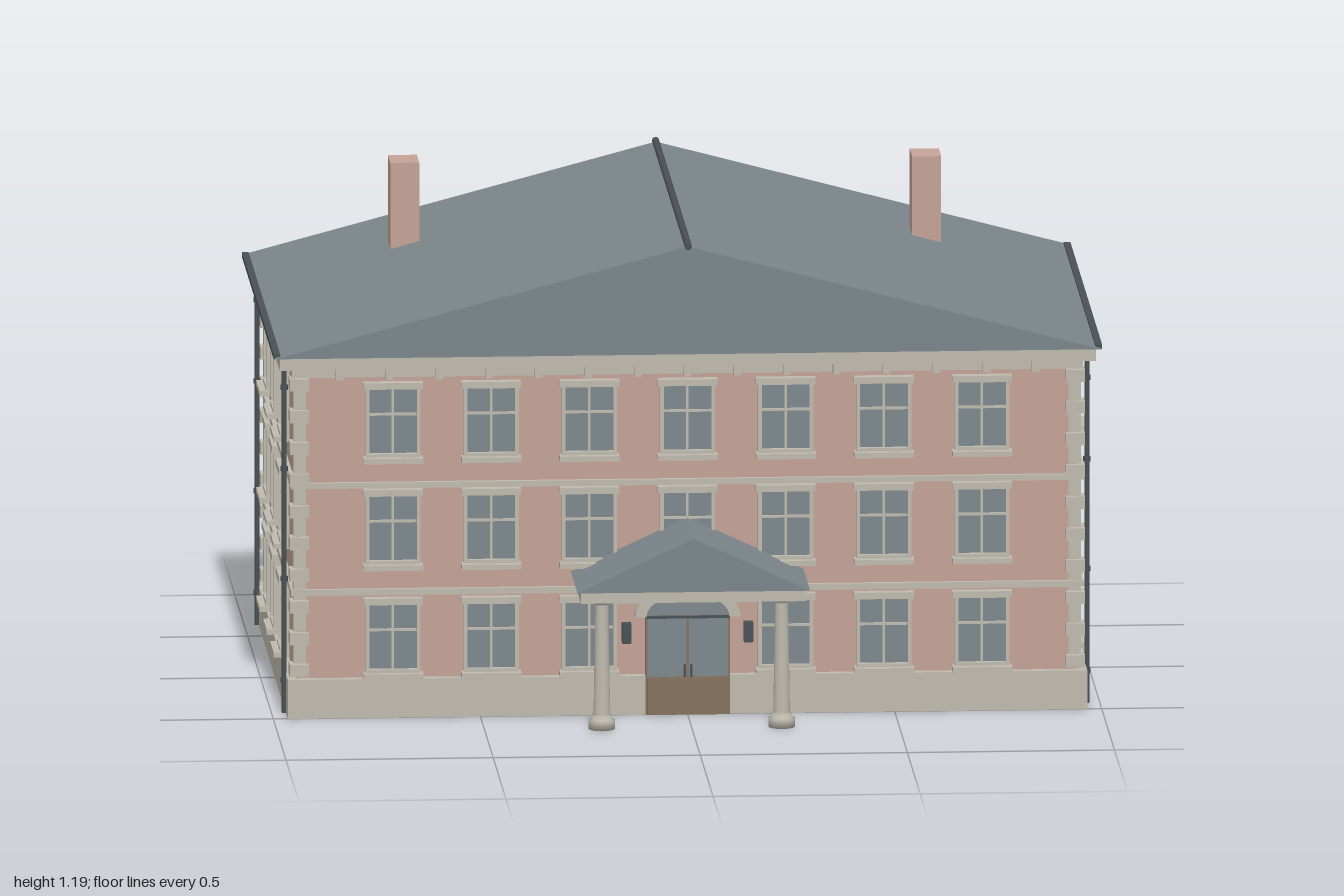
import * as THREE from 'three';

const mat = (name, color, extra = {}) => {
  const m = new THREE.MeshStandardMaterial({ color, ...extra });
  m.name = name;
  return m;
};

export function createModel() {
  const brick = mat('brick', 0xc5a396);
  const stone = mat('stone', 0xbfbaae);
  const slate = mat('slate', 0x7b868a);
  const glass = mat('glass', 0x7d888e);
  const metal = mat('dark metal', 0x4a5257);
  const wood = mat('door wood', 0x86705f);

  const model = new THREE.Group();
  model.name = 'house';
  const ZC = -0.1, HX = 0.945, HZ = 0.585;   // wall centre and half sizes
  const FRONT = ZC + HZ, BACK = ZC - HZ;

  const unit = new THREE.BoxGeometry(1, 1, 1);
  const add = (parent, name, geo, m, x = 0, y = 0, z = 0) => {
    const mesh = new THREE.Mesh(geo, m);
    mesh.name = name;
    mesh.position.set(x, y, z);
    parent.add(mesh);
    return mesh;
  };
  const box = (parent, name, m, w, h, d, x, y, z) => {
    const b = add(parent, name, unit, m, x, y, z);
    b.scale.set(w, h, d);
    return b;
  };
  const group = (name, parent = model) => {
    const g = new THREE.Group();
    g.name = name;
    parent.add(g);
    return g;
  };
  // box given by its bottom, top and half sizes, centred on the house
  const slab = (name, m, y0, y1, hx, hz) =>
    box(model, name, m, hx * 2, y1 - y0, hz * 2, 0, (y0 + y1) / 2, ZC);
  // triangular prism running along z
  const gable = (parent, name, half, y0, y1, z0, z1) => {
    const s = new THREE.Shape();
    s.moveTo(-half, y0);
    s.lineTo(half, y0);
    s.lineTo(0, y1);
    const g = new THREE.ExtrudeGeometry(s, { depth: z1 - z0, bevelEnabled: false });
    return add(parent, name, g, slate, 0, 0, z0);
  };

  // Body, plinth, string courses and cornice
  slab('walls', brick, 0.09, 0.86, HX, HZ);
  slab('plinth', stone, 0, 0.096, 0.965, 0.605);
  slab('lowerStringCourse', stone, 0.3, 0.315, HX + 0.012, HZ + 0.012);
  slab('upperStringCourse', stone, 0.563, 0.577, HX + 0.012, HZ + 0.012);
  slab('frieze', stone, 0.836, 0.862, HX + 0.01, HZ + 0.01);
  slab('cornice', stone, 0.86, 0.892, 0.985, 0.622);

  // Brackets under the cornice
  const brackets = group('corniceBrackets');
  for (const s of [-1, 1]) {
    for (let i = -7; i <= 7; i++)
      box(brackets, 'bracket', stone, 0.018, 0.028, 0.026, i * 0.12, 0.847, ZC + s * (HZ + 0.017));
    for (let i = -4; i <= 4; i++)
      box(brackets, 'bracket', stone, 0.026, 0.028, 0.018, s * (HX + 0.017), 0.847, ZC + i * 0.12);
  }

  // Corner quoins, alternately long and short
  const quoins = group('quoins');
  for (const sx of [-1, 1]) for (const sz of [-1, 1])
    for (let i = 0; i < 19; i++) {
      const long = i % 2 === 0, p = long ? 0.015 : 0.006, w = long ? 0.046 : 0.03;
      box(quoins, 'quoin', stone, w, long ? 0.03 : 0.044, w,
        sx * (HX + p - w / 2), 0.117 + i * 0.039, ZC + sz * (HZ + p - w / 2));
    }

  // Main roof, ridge cap, eaves gutters and chimneys
  gable(model, 'mainRoof', 0.997, 0.89, 1.155, -0.74, 0.53);
  const ridge = add(model, 'ridgeCap', new THREE.CylinderGeometry(0.009, 0.009, 1.285, 8), metal, 0, 1.156, -0.1065);
  ridge.rotation.x = Math.PI / 2;
  const pipe = new THREE.CylinderGeometry(0.006, 0.006, 0.86, 8);
  const collar = new THREE.CylinderGeometry(0.009, 0.009, 0.012, 8);
  for (const s of [-1, 1]) {
    box(model, 'gutter', metal, 0.016, 0.012, 1.24, s * 0.992, 0.893, ZC - 0.005);
    box(model, 'chimney', brick, 0.07, 0.24, 0.096, s * 0.63, 1.07, -0.398);
    for (const z of [0.425, -0.637]) {
      const down = group('downpipe');
      add(down, 'pipe', pipe, metal, s * 0.969, 0.43, z);
      for (const y of [0.08, 0.33, 0.6, 0.8]) add(down, 'collar', collar, metal, s * 0.969, y, z);
    }
  }

  // One window facing +z, wall face at z = 0
  const makeWindow = (w) => {
    const g = new THREE.Group();
    g.name = 'window';
    box(g, 'pane', glass, w, 0.164, 0.008, 0, 0, 0.004);
    for (const s of [-1, 1]) box(g, 'jamb', stone, 0.009, 0.176, 0.02, s * (w / 2 + 0.003), 0, 0.01);
    box(g, 'lintel', stone, w + 0.026, 0.016, 0.025, 0, 0.089, 0.0125);
    box(g, 'sill', stone, w + 0.026, 0.013, 0.038, 0, -0.093, 0.019);
    box(g, 'sillApron', stone, w + 0.012, 0.01, 0.022, 0, -0.083, 0.011);
    box(g, 'mullion', stone, 0.006, 0.164, 0.007, 0, 0, 0.01);
    box(g, 'transom', stone, w, 0.006, 0.007, 0, 0.018, 0.01);
    return g;
  };
  const wideWindow = makeWindow(0.118), narrowWindow = makeWindow(0.11);
  const windows = group('windows');
  const place = (proto, x, y, z, turn) => {
    const w = proto.clone();
    w.position.set(x, y, z);
    w.rotation.y = turn;
    windows.add(w);
  };
  [0.197, 0.464, 0.727].forEach((y, floor) => {
    for (let i = -3; i <= 3; i++) {
      if (floor > 0 || i !== 0) place(wideWindow, i * 0.237, y, FRONT, 0);
      place(wideWindow, i * 0.237, y, BACK, Math.PI);
    }
    for (const z of [0.173, -0.104, -0.381])
      for (const s of [-1, 1]) place(narrowWindow, s * HX, y, z, s * Math.PI / 2);
  });

  // Entrance: double door, fanlight, arched surround and lanterns
  const entrance = group('entrance');
  const DZ = 0.508;
  box(entrance, 'doorFrame', wood, 0.204, 0.244, 0.024, 0, 0.122, DZ - 0.01);
  for (const s of [-1, 1]) {
    box(entrance, 'doorGlass', glass, 0.094, 0.145, 0.006, s * 0.05, 0.167, DZ + 0.004);
    box(entrance, 'doorPanel', wood, 0.096, 0.088, 0.006, s * 0.05, 0.046, DZ + 0.004);
    box(entrance, 'handle', metal, 0.006, 0.03, 0.012, s * 0.008, 0.11, DZ + 0.01);
    box(entrance, 'lantern', metal, 0.022, 0.048, 0.03, s * 0.147, 0.201, FRONT + 0.015);
  }
  box(entrance, 'doorHead', metal, 0.204, 0.006, 0.012, 0, 0.241, DZ + 0.004);
  const fan = new THREE.Shape();
  fan.absellipse(0, 0, 0.102, 0.058, 0, Math.PI, false);
  add(entrance, 'fanlight', new THREE.ExtrudeGeometry(fan, { depth: 0.02, bevelEnabled: false }), glass, 0, 0.244, FRONT);
  const arch = new THREE.Shape();
  arch.absellipse(0, 0, 0.127, 0.076, 0, Math.PI, false);
  arch.lineTo(-0.1, 0);
  arch.absellipse(0, 0, 0.1, 0.057, Math.PI, 0, true);
  add(entrance, 'archSurround', new THREE.ExtrudeGeometry(arch, { depth: 0.034, bevelEnabled: false, curveSegments: 20 }),
    stone, 0, 0.242, FRONT);

  // Porch: gabled roof on an entablature and two columns
  const porch = group('porch');
  gable(porch, 'porchRoof', 0.281, 0.35, 0.481, 0.48, 0.75);
  box(porch, 'entablature', stone, 0.544, 0.028, 0.263, 0, 0.337, 0.6115);
  const profile = [[0, 0], [0.032, 0], [0.032, 0.022], [0.025, 0.024], [0.025, 0.034], [0.02, 0.037],
    [0.016, 0.305], [0.023, 0.309], [0.023, 0.314], [0.03, 0.316], [0.03, 0.326], [0, 0.326]];
  // each profile segment gets its own points so that the rims stay sharp
  const column = new THREE.LatheGeometry(profile.map(p => new THREE.Vector2(...p)), 20);
  for (const s of [-1, 1]) add(porch, 'column', column, stone, s * 0.217, 0, 0.666);

  return model;
}
